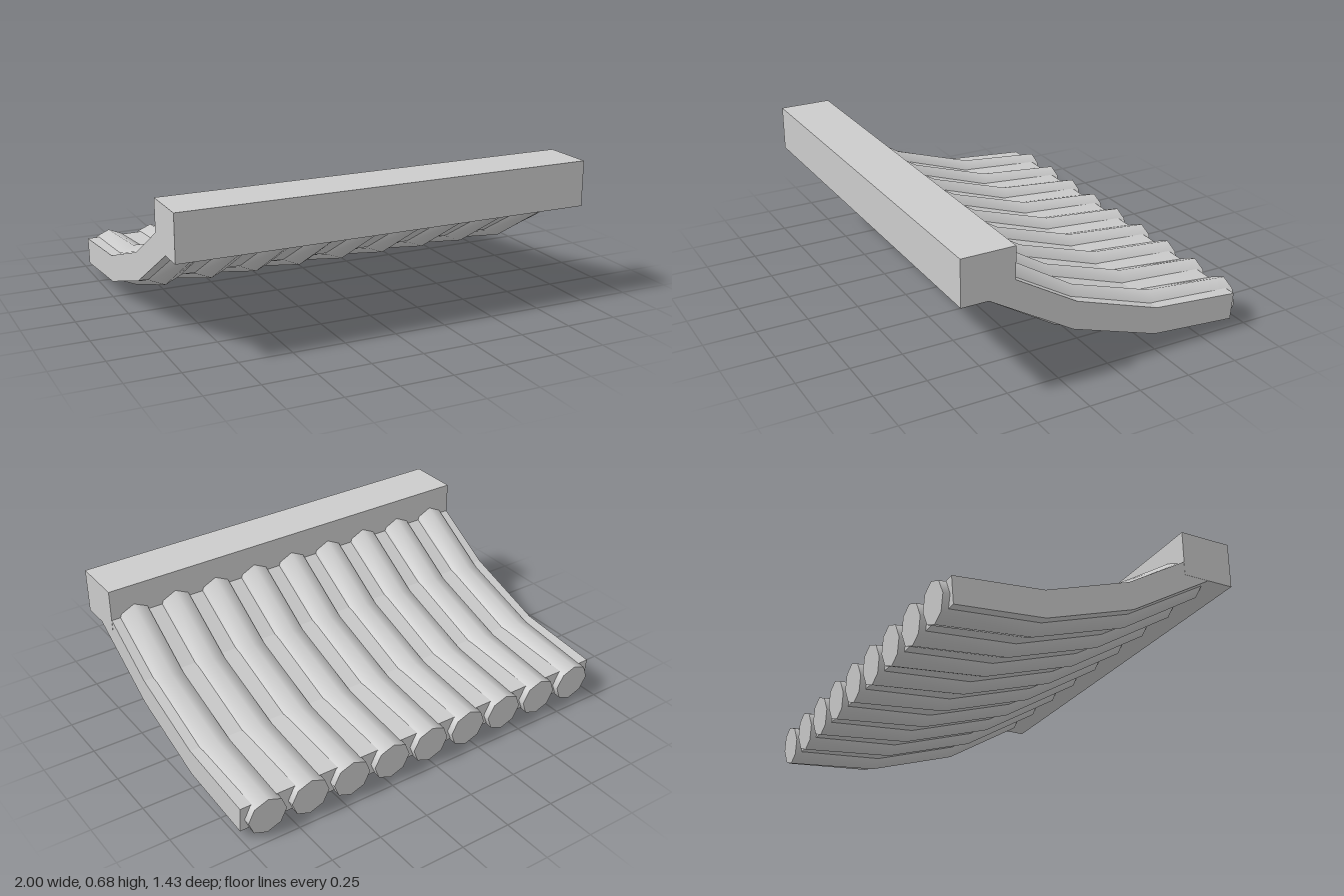
import * as THREE from 'three';
import { toCreasedNormals } from 'three/addons/utils/BufferGeometryUtils.js';

const material = new THREE.MeshStandardMaterial({ color: 0xcccccc });

// Centre line of the logs as [z, y], from the beam down to the back
const PATH = [[0.55, 0.517], [0.16, 0.278], [-0.267, 0.14], [-0.704, 0.098]]
  .map(([z, y]) => new THREE.Vector3(0, y, z));

// Eight-sided cylinder bent along the path, with mitred joints
function bentLog(radius) {
  const segments = PATH.length - 1;
  const directions = PATH.slice(1).map((p, i) => p.clone().sub(PATH[i]).normalize());
  const normals = PATH.map((_, i) => {
    const before = directions[Math.max(i - 1, 0)];
    const after = directions[Math.min(i, segments - 1)];
    const t = before.clone().add(after).normalize();
    return new THREE.Vector3(0, -t.z, t.y).divideScalar(t.dot(after));
  });
  const geometry = new THREE.CylinderGeometry(radius, radius, 1, 8, segments);
  const pos = geometry.attributes.position;
  for (let i = 0; i < pos.count; i++) {
    const row = Math.round((pos.getY(i) + 0.5) * segments);
    const p = PATH[row].clone().addScaledVector(normals[row], pos.getZ(i));
    pos.setXYZ(i, pos.getX(i), p.y, p.z);
  }
  return toCreasedNormals(geometry, 1.1);
}

export function createModel() {
  const group = new THREE.Group();
  const add = (name, geometry) => {
    const mesh = new THREE.Mesh(geometry, material);
    mesh.name = name;
    group.add(mesh);
    return mesh;
  };

  // Square beam along the front
  add('beam', new THREE.BoxGeometry(2, 0.218, 0.252)).position.set(0, 0.569, 0.587);

  // Curved slab filling the gaps between the logs, profile as [z, y]
  const profile = new THREE.Shape([
    [0.53, 0.566], [0.165, 0.35], [-0.25, 0.21], [-0.678, 0.172],
    [-0.668, 0.045], [-0.248, 0.08], [0.18, 0.22], [0.6, 0.468],
  ].map(([z, y]) => new THREE.Vector2(z, y)));
  const slab = new THREE.ExtrudeGeometry(profile, { depth: 1.998, bevelEnabled: false });
  slab.rotateY(-Math.PI / 2).translate(0.999, 0, 0);
  add('slab', slab);

  // Nine parallel logs
  const logGeometry = bentLog(0.0965);
  for (let i = -4; i <= 4; i++) add('log', logGeometry).position.x = i * 0.22;

  return group;
}
